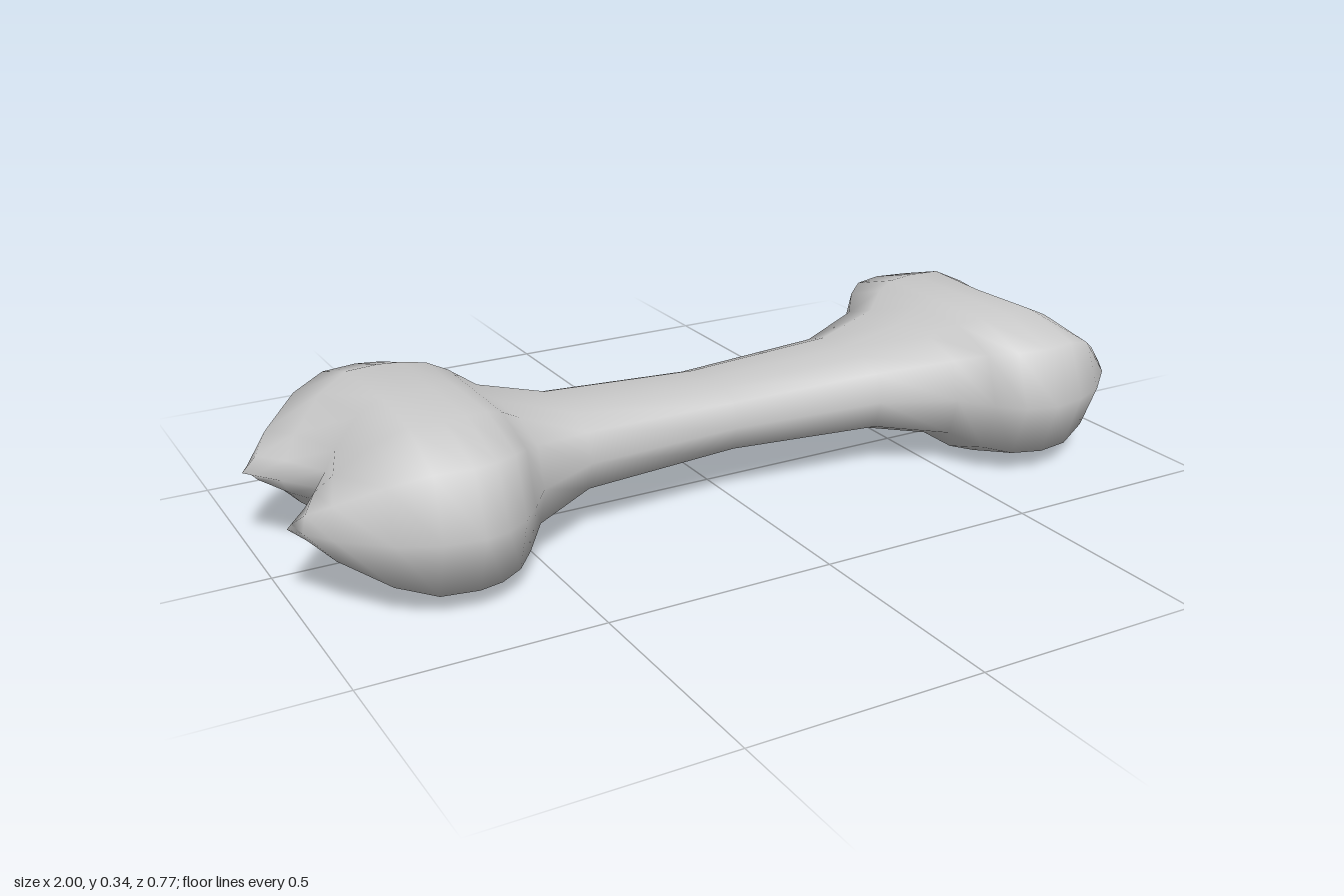
import * as THREE from 'three';
import { mergeVertices } from 'three/addons/utils/BufferGeometryUtils.js';

const CENTRE_Y = 0.171;

// Unit cross-section [z, y]: a flattened twelve-sided oval
const quarter = [[1, 0], [0.88, 0.74], [0.49, 1], [0, 1]];
const oval = [
  ...quarter,
  ...quarter.slice(0, 3).reverse().map(([z, y]) => [-z, y]),
  ...quarter.slice(1).map(([z, y]) => [-z, -y]),
  ...quarter.slice(1, 3).reverse().map(([z, y]) => [z, -y]),
];

// Rings along the bone: [x, half width, half height, how far the middle is pulled in]
const rings = [
  [-1.0, 0.155, 0, 0.115],
  [-0.98, 0.19, 0.035, 0.107],
  [-0.94, 0.25, 0.076, 0.09],
  [-0.85, 0.33, 0.138, 0.05],
  [-0.77, 0.37, 0.169, 0.02],
  [-0.69, 0.384, 0.17, 0],
  [-0.64, 0.374, 0.168, 0],
  [-0.59, 0.342, 0.163, 0],
  [-0.55, 0.295, 0.147, 0],
  [-0.5, 0.226, 0.115, 0],
  [-0.36, 0.154, 0.085, 0],
  [0, 0.132, 0.072, 0],
  [0.36, 0.16, 0.086, 0],
  [0.52, 0.236, 0.118, 0],
  [0.57, 0.308, 0.15, 0],
  [0.62, 0.357, 0.162, 0],
  [0.69, 0.378, 0.165, 0],
  [0.77, 0.364, 0.165, 0.02],
  [0.85, 0.328, 0.136, 0.055],
  [0.94, 0.245, 0.072, 0.105],
  [0.975, 0.195, 0.038, 0.128],
  [1.0, 0.147, 0, 0.143],
];

function boneGeometry() {
  const positions = [];
  const index = [];
  const n = oval.length;
  rings.forEach(([x, w, h, notch], i) => {
    oval.forEach(([z, y], j) => {
      // Pulling the middle inward splits each end into two knuckles
      const px = x - Math.sign(x) * notch * (1 - Math.abs(z));
      positions.push(px, CENTRE_Y + y * h, z * w);
      if (i === rings.length - 1) return;
      const a = i * n + j;
      const b = i * n + (j + 1) % n;
      index.push(a, a + n, b, b, a + n, b + n);
    });
  });
  const geometry = new THREE.BufferGeometry();
  geometry.setAttribute('position', new THREE.Float32BufferAttribute(positions, 3));
  geometry.setIndex(index);
  // The end rings close to a V-shaped edge, so weld their doubled points
  const welded = mergeVertices(geometry, 1e-4);
  welded.computeVertexNormals();
  return welded;
}

export function createModel() {
  const group = new THREE.Group();
  group.name = 'bone';
  const material = new THREE.MeshStandardMaterial({ color: 0xcccccc });
  const bone = new THREE.Mesh(boneGeometry(), material);
  bone.name = 'shaftAndKnuckles';
  group.add(bone);
  return group;
}
